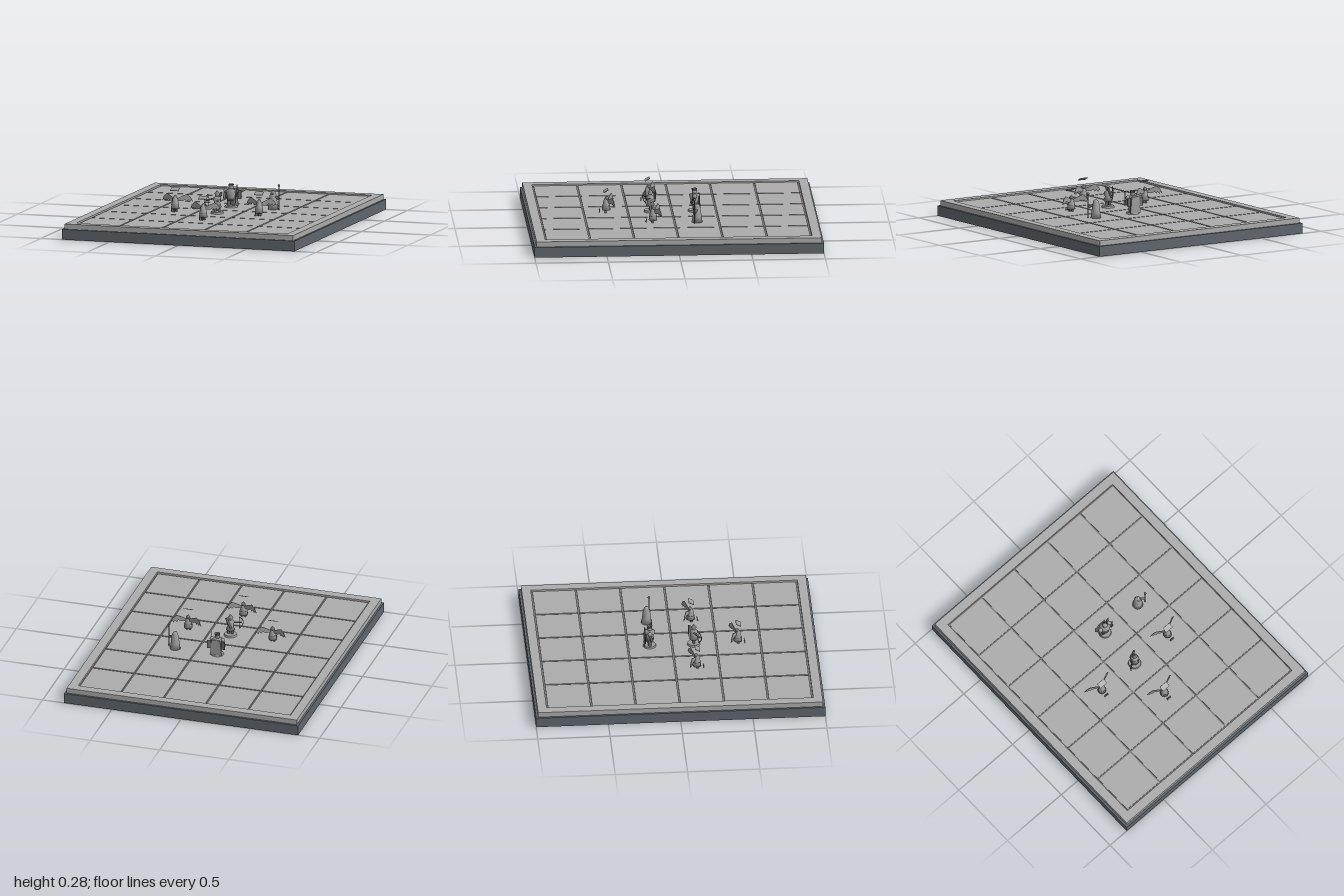
import * as THREE from 'three';

const mat = (name, color, side = THREE.FrontSide) => {
  const m = new THREE.MeshStandardMaterial({ color, side });
  m.name = name;
  return m;
};

export function createModel() {
  const slate = mat('slate', 0x5f666d);
  const stone = mat('stone', 0xacacac);
  const groove = mat('groove', 0x747474);
  const pewter = mat('pewter', 0x9c9c9c, THREE.DoubleSide);
  const iron = mat('iron', 0x707070, THREE.DoubleSide);

  const root = new THREE.Group();
  root.name = 'boardWithFigures';

  function add(parent, name, geo, material, x = 0, y = 0, z = 0, rx = 0, ry = 0, rz = 0) {
    const mesh = new THREE.Mesh(geo, material);
    mesh.name = name;
    mesh.position.set(x, y, z);
    mesh.rotation.set(rx, ry, rz);
    parent.add(mesh);
    return mesh;
  }
  const box = (w, h, d) => new THREE.BoxGeometry(w, h, d);
  const cyl = (top, bottom, h, n = 12) => new THREE.CylinderGeometry(top, bottom, h, n);
  const ball = (r) => new THREE.SphereGeometry(r, 12, 8);
  const lathe = (pts, n = 16) => new THREE.LatheGeometry(pts.map(p => new THREE.Vector2(...p)), n);
  const shape = (pts) => new THREE.Shape(pts.map(p => new THREE.Vector2(...p)));
  const plate = (pts, depth) => new THREE.ExtrudeGeometry(shape(pts), { depth, bevelEnabled: false });
  // Rod between two points
  function rod(parent, name, a, b, r, material) {
    const curve = new THREE.LineCurve3(new THREE.Vector3(...a), new THREE.Vector3(...b));
    return add(parent, name, new THREE.TubeGeometry(curve, 1, r, 8), material);
  }
  function figure(name, x, z) {
    const g = new THREE.Group();
    g.name = name;
    g.position.set(x, 0.1, z);
    root.add(g);
    return g;
  }

  // Board: plinth, raised border, groove floor and inset tiles
  add(root, 'plinth', box(1.69, 0.072, 2), slate, 0, 0.036, 0);
  const rect = (w, d) => [[-w, -d], [w, -d], [w, d], [-w, d]];
  const border = shape(rect(0.831, 0.985));
  border.holes.push(shape(rect(0.767, 0.922)));
  add(root, 'border', new THREE.ExtrudeGeometry(border, { depth: 0.036, bevelEnabled: false }),
    stone, 0, 0.072, 0, -Math.PI / 2);
  add(root, 'grooveFloor', box(1.535, 0.022, 1.845), groove, 0, 0.083, 0);
  const cell = 0.3055;
  for (let i = 0; i < 5; i++) {
    for (let j = 0; j < 6; j++) {
      add(root, 'tile', box(cell - 0.011, 0.006, cell - 0.011), stone,
        (i - 2) * cell, 0.097, (j - 2.5) * cell);
    }
  }

  // Winged figures: robe, feet, swept wings and a floating tilted plate
  const wing = plate([[0.008, 0.085], [0.04, 0.102], [0.078, 0.118], [0.105, 0.098], [0.121, 0.065],
    [0.108, 0.077], [0.1, 0.062], [0.088, 0.078], [0.078, 0.066], [0.066, 0.08], [0.05, 0.07], [0.008, 0.07]], 0.004);
  for (const [x, z] of [[-0.305, 0.15], [0.305, 0.15], [0, 0.455]]) {
    const g = figure('wingedFigure', x, z);
    add(g, 'robe', lathe([[0, 0.018], [0.03, 0.018], [0.026, 0.045], [0.018, 0.085], [0, 0.118]], 10), pewter);
    add(g, 'belt', cyl(0.026, 0.028, 0.006, 10), iron, 0, 0.047, 0);
    add(g, 'hood', ball(0.014), iron, 0, 0.098, -0.005);
    for (const s of [-1, 1]) {
      const pivot = new THREE.Group();
      pivot.name = s > 0 ? 'leftWing' : 'rightWing';
      pivot.rotation.y = s > 0 ? 0.42 : Math.PI - 0.42;
      pivot.position.z = -0.006;
      add(pivot, 'wingPlate', wing, pewter, 0, 0, -0.002);
      g.add(pivot);
      add(g, 'leg', box(0.011, 0.03, 0.014), iron, s * 0.011, 0.014, 0.004);
    }
    for (const k of [-1, 0, 1]) {
      add(g, 'claw', box(0.007, 0.022, 0.004), iron, k * 0.012, 0.014, 0.046, -0.2);
    }
    add(g, 'haloPlate', box(0.06, 0.004, 0.038), pewter, 0, 0.154, 0.003, 0.5);
  }

  // Archer on a round stand
  const archer = figure('archer', 0, 0.15);
  add(archer, 'stand', cyl(0.042, 0.045, 0.014, 24), pewter, 0, 0.007, 0);
  for (const s of [-1, 1]) add(archer, 'leg', cyl(0.011, 0.009, 0.05, 8), iron, s * 0.014, 0.038, 0);
  add(archer, 'tunic', lathe([[0, 0.045], [0.031, 0.045], [0.021, 0.075], [0.028, 0.105], [0.012, 0.12], [0, 0.12]]), pewter);
  add(archer, 'head', ball(0.016), pewter, 0, 0.131, 0);
  add(archer, 'hat', cyl(0.004, 0.02, 0.022), iron, 0, 0.147, 0);
  rod(archer, 'bowArm', [-0.022, 0.104, 0], [-0.07, 0.092, 0.04], 0.006, iron);
  rod(archer, 'drawArm', [0.024, 0.104, 0], [0.01, 0.09, 0.032], 0.006, iron);
  rod(archer, 'quiver', [-0.012, 0.07, -0.03], [0.022, 0.142, -0.03], 0.008, iron);
  const bow = new THREE.QuadraticBezierCurve3(new THREE.Vector3(-0.055, 0.045, 0.028),
    new THREE.Vector3(-0.1, 0.09, 0.07), new THREE.Vector3(-0.055, 0.135, 0.028));
  add(archer, 'bow', new THREE.TubeGeometry(bow, 12, 0.003, 6), iron);
  rod(archer, 'bowString', [-0.055, 0.045, 0.028], [-0.055, 0.135, 0.028], 0.001, iron);

  // Armoured leader with broad shoulders, cape and crown
  const leader = figure('leader', 0, -0.155);
  add(leader, 'stand', cyl(0.042, 0.045, 0.012, 24), pewter, 0, 0.006, 0);
  for (const s of [-1, 1]) {
    add(leader, 'leg', cyl(0.015, 0.012, 0.055, 8), iron, s * 0.017, 0.036, 0);
    add(leader, 'shoulder', ball(0.016), pewter, s * 0.039, 0.113, 0);
    rod(leader, 'arm', [s * 0.042, 0.112, 0], [s * 0.047, 0.06, 0.014], 0.009, iron);
    add(leader, 'capeWing', box(0.026, 0.06, 0.004), iron, s * 0.05, 0.085, -0.03, 0, s * 0.2);
  }
  add(leader, 'torso', lathe([[0, 0.05], [0.029, 0.05], [0.026, 0.07], [0.038, 0.118], [0.016, 0.126], [0, 0.126]]), pewter);
  add(leader, 'belt', cyl(0.03, 0.031, 0.008, 16), iron, 0, 0.062, 0);
  add(leader, 'cape', plate([[-0.042, 0.008], [0.042, 0.008], [0.03, 0.122], [-0.03, 0.122]], 0.005), pewter, 0, 0, -0.038);
  add(leader, 'head', ball(0.018), pewter, 0, 0.137, 0);
  add(leader, 'crown', new THREE.CylinderGeometry(0.02, 0.017, 0.014, 12, 1, true), iron, 0, 0.153, 0);
  rod(leader, 'sword', [0.05, 0.06, 0.018], [0.05, 0.16, 0.018], 0.003, iron);
  add(leader, 'swordGuard', box(0.022, 0.005, 0.007), iron, 0.05, 0.077, 0.018);

  // Robed mage with a ball-topped staff
  const mage = figure('mage', 0.305, -0.155);
  add(mage, 'robe', lathe([[0, 0], [0.037, 0], [0.031, 0.04], [0.024, 0.098], [0.014, 0.108], [0, 0.108]]), pewter);
  add(mage, 'hood', lathe([[0.02, 0.095], [0.019, 0.112], [0.012, 0.124], [0, 0.129]]), pewter);
  add(mage, 'face', ball(0.012), iron, 0, 0.112, 0.011);
  rod(mage, 'arm', [0.018, 0.09, 0.004], [0.046, 0.075, 0.02], 0.008, iron);
  rod(mage, 'staff', [0.05, 0, 0.021], [0.05, 0.165, 0.021], 0.0035, iron);
  add(mage, 'staffOrb', ball(0.009), iron, 0.05, 0.17, 0.021);

  return root;
}
